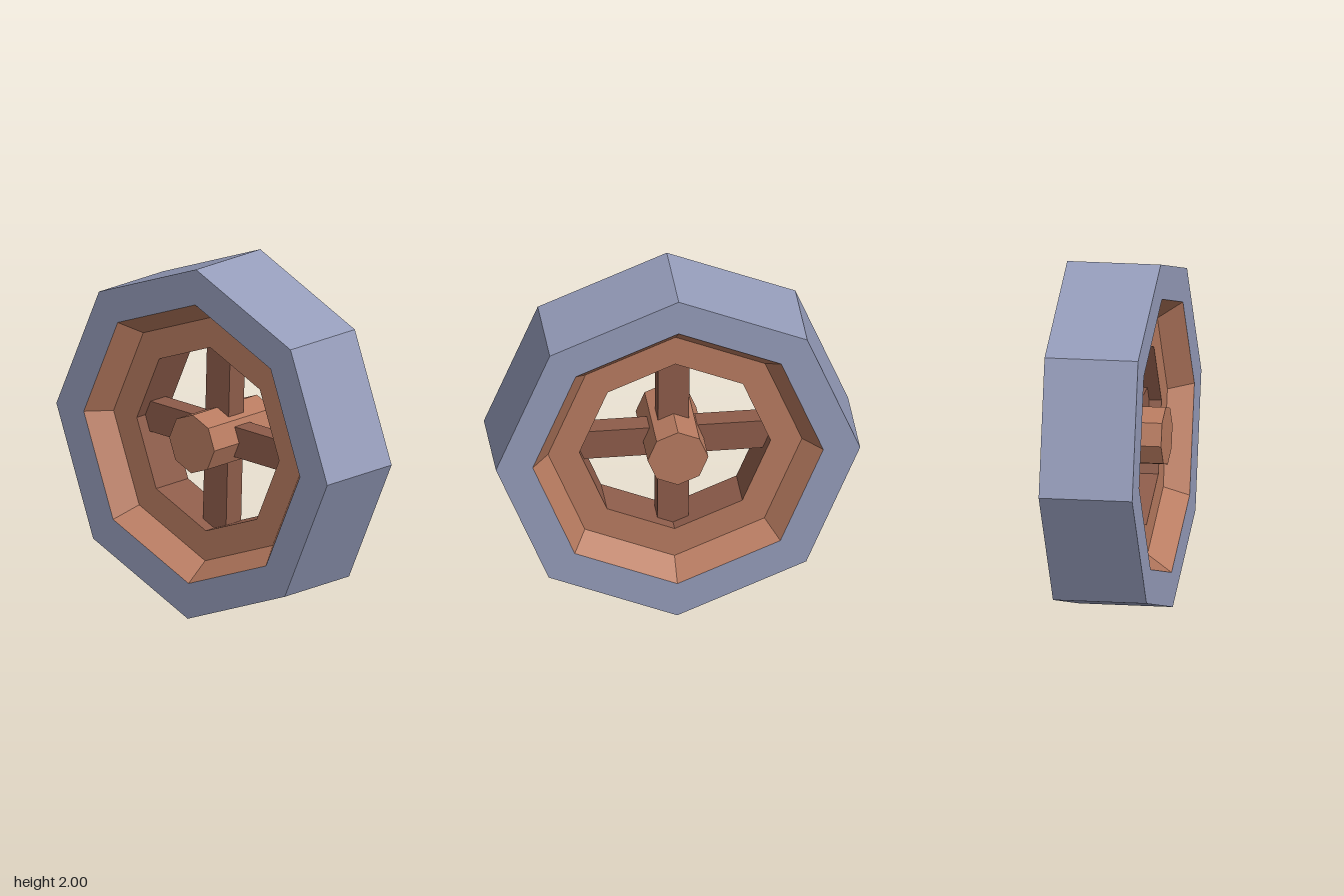
import * as THREE from 'three';

const material = (name, color, extra = {}) => {
  const m = new THREE.MeshStandardMaterial({ color, ...extra });
  m.name = name;
  return m;
};

// Faceted version of a geometry
const faceted = (geometry) => {
  const g = geometry.index ? geometry.toNonIndexed() : geometry;
  g.computeVertexNormals();
  return g;
};

export function createModel() {
  const tyreGrey = material('blueGrey', 0x959cba);
  const rimBrown = material('copperBrown', 0xb87b60);
  const darkBrown = material('darkBrown', 0x8d5c4a);

  const sides = 8;
  const outer = 0.99, opening = 0.79, rimEdge = 0.69, hole = 0.52;
  const half = 0.257, recess = 0.128; // half width of tyre and of inner rim

  const wheel = new THREE.Group();
  wheel.name = 'wheel';

  const add = (name, geometry, mat) => {
    const mesh = new THREE.Mesh(faceted(geometry), mat);
    mesh.name = name;
    wheel.add(mesh);
    return mesh;
  };
  const ring = (name, profile, mat) =>
    add(name, new THREE.LatheGeometry(profile.map(([r, y]) => new THREE.Vector2(r, y)), sides), mat);

  // Tyre tread with both side walls
  ring('tyre', [[opening, -half], [outer, -half], [outer, half], [opening, half]], tyreGrey);

  // Sloped and flat rim faces on each side
  ring('leftRim', [[opening, half], [rimEdge, recess], [hole, recess]], rimBrown);
  ring('rightRim', [[hole, -recess], [rimEdge, -recess], [opening, -half]], rimBrown);

  // Inner wall of the rim
  ring('rimInnerWall', [[hole, recess], [hole, -recess]], darkBrown);

  // Hub, flush with the side walls
  add('hub', new THREE.CylinderGeometry(0.165, 0.165, half * 2, sides), rimBrown);

  // Four spokes
  for (let i = 0; i < 4; i++) {
    const geometry = new THREE.BoxGeometry(0.44, 0.12, 0.17);
    geometry.translate(0.3, 0, 0);
    geometry.rotateY((i * Math.PI) / 2);
    add('spoke' + (i + 1), geometry, darkBrown);
  }

  // Axle along x, with a slight camber
  wheel.rotation.z = -Math.PI / 2 - THREE.MathUtils.degToRad(1.9);
  wheel.position.y = 1;

  const model = new THREE.Group();
  model.name = 'wheelModel';
  model.add(wheel);
  return model;
}
